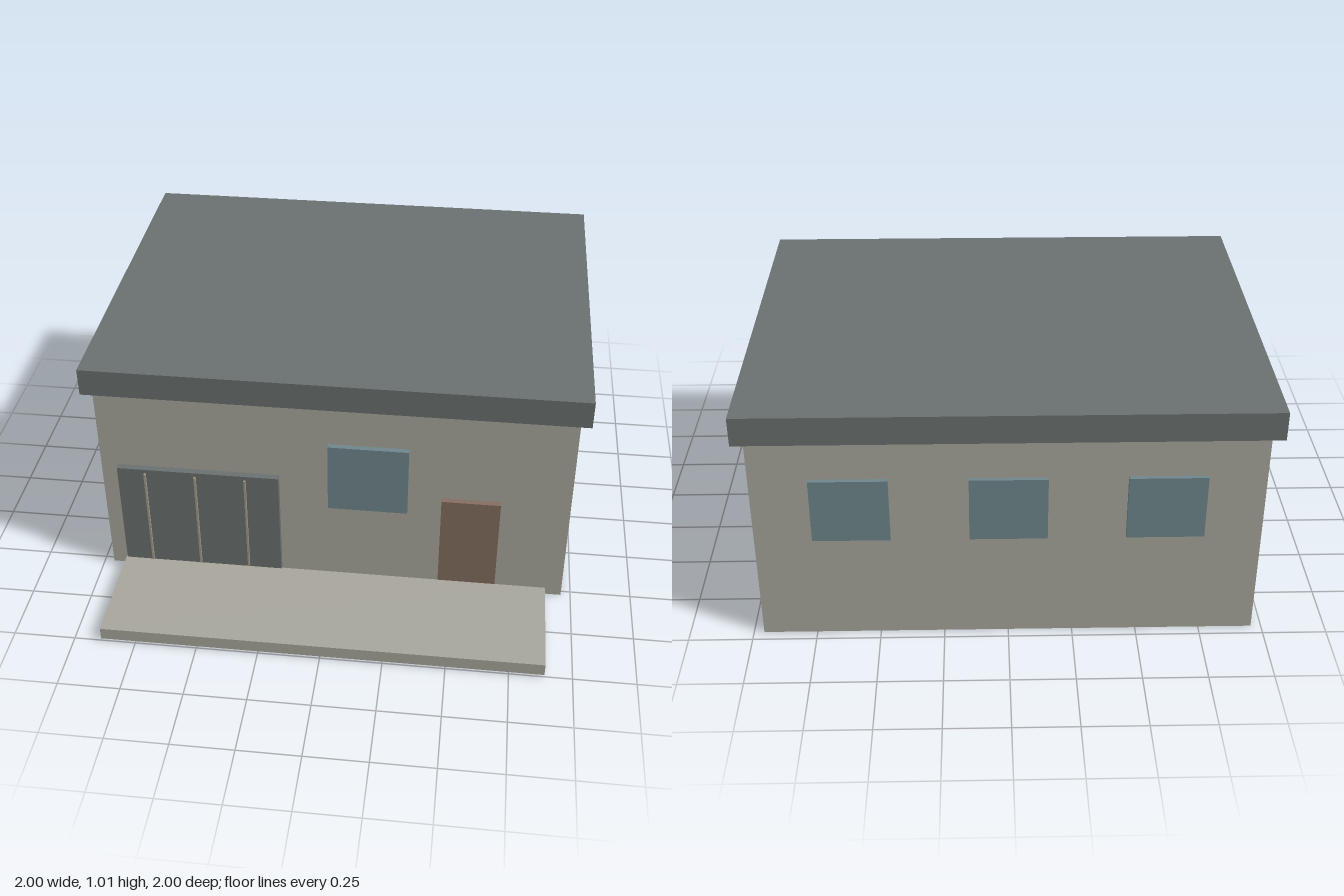
import * as THREE from 'three';

const material = (name, color) => {
  const m = new THREE.MeshStandardMaterial({ color });
  m.name = name;
  return m;
};

export function createModel() {
  const house = new THREE.Group();
  house.name = 'house';

  const wall = material('warm grey wall', 0xa8a69c);
  const slate = material('slate grey', 0x6a7170);
  const glass = material('blue glass', 0x70878d);
  const wood = material('brown wood', 0x846e60);
  const trim = material('tan trim', 0xa39a8a);

  // Box given by its extents along each axis
  const block = (name, mat, [x0, x1], [y0, y1], [z0, z1]) => {
    const mesh = new THREE.Mesh(new THREE.BoxGeometry(x1 - x0, y1 - y0, z1 - z0), mat);
    mesh.position.set((x0 + x1) / 2, (y0 + y1) / 2, (z0 + z1) / 2);
    mesh.name = name;
    house.add(mesh);
  };

  // Main body, overhanging flat roof and front terrace
  block('walls', wall, [-0.96, 0.96], [0, 0.9], [-0.957, 0.522]);
  block('roof', slate, [-1, 1], [0.895, 1.01], [-1, 0.557]);
  block('terrace', wall, [-0.89, 0.89], [0.01, 0.063], [0.555, 1]);

  // Front openings
  block('slidingDoor', slate, [-0.885, -0.22], [0.03, 0.542], [0.532, 0.56]);
  block('frontDoor', wood, [0.442, 0.68], [0.025, 0.483], [0.532, 0.556]);
  block('frontWindow', glass, [-0.018, 0.306], [0.412, 0.72], [0.537, 0.56]);

  // Upright bars dividing the sliding door
  for (const x of [-0.77, -0.563, -0.357]) {
    block('slidingDoorBar', trim, [x - 0.004, x + 0.004], [0.07, 0.525], [0.555, 0.57]);
  }

  // Row of back windows
  for (const x of [-0.59, 0, 0.59]) {
    block('backWindow', glass, [x - 0.147, x + 0.147], [0.462, 0.727], [-0.987, -0.97]);
  }

  return house;
}
